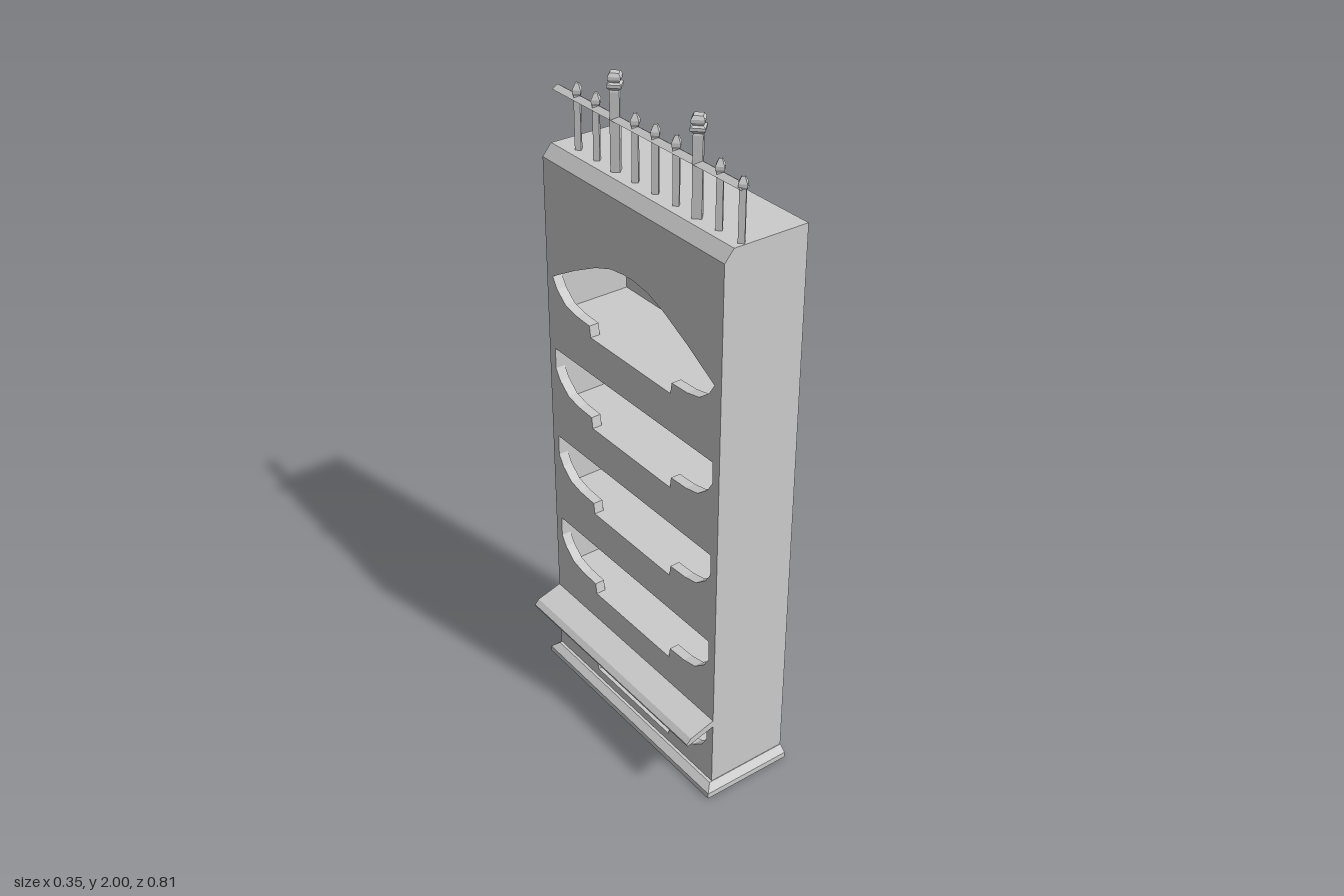
import * as THREE from 'three';

const FRONT = -0.085, BACK = 0.173;      // the open side faces -x
const HALF = 0.3875, MID = -0.0025;      // half width and centre along z
const CAP_Y = 1.6, TOP = 1.735;
const INNER = 0.36, BOARD = 0.03;
const FENCE_X = -0.023;
const FLOORS = [0.064, 0.36, 0.655, 0.95, 1.244];

const material = new THREE.MeshStandardMaterial({ color: 0xcccccc, flatShading: true });

function add(parent, name, geometry, x = 0, y = 0, z = 0) {
  const mesh = new THREE.Mesh(geometry, material);
  mesh.name = name;
  mesh.position.set(x, y, z);
  parent.add(mesh);
  return mesh;
}

const toPoints = (list) => list.map(([x, y]) => new THREE.Vector2(x, y));

// Upright board in the zy plane with cut-outs, running from x = x0 to x1
function board(holes, y0, y1, x0, x1) {
  const shape = new THREE.Shape(toPoints([[-HALF, y0], [HALF, y0], [HALF, y1], [-HALF, y1]]));
  shape.holes = holes.map((h) => new THREE.Path(toPoints(h)));
  const geometry = new THREE.ExtrudeGeometry(shape, { depth: x1 - x0, bevelEnabled: false });
  return geometry.rotateY(Math.PI / 2).translate(x0, 0, MID);
}

// Profile in the xy plane swept along the width
function sweep(profile) {
  const geometry = new THREE.ExtrudeGeometry(new THREE.Shape(toPoints(profile)),
    { depth: HALF * 2, bevelEnabled: false });
  return geometry.translate(0, 0, MID - HALF);
}

// Mirrored outline of one opening: scrolled lower corners, straight or arched head
function opening(floor, arched) {
  const right = [[0.18, 0], [0.185, 0.034], [0.25, 0.037], [0.3, 0.048], [0.34, 0.08], [INNER, 0.112]];
  if (arched) right.push([0.25, 0.175], [0.15, 0.225], [0.08, 0.25], [0.02, 0.258]);
  else right.push([INNER, 0.177]);
  const left = right.map(([x, y]) => [-x, y]).reverse();
  return [...right, ...left].map(([x, y]) => [x, y + floor]);
}

// Rectangular space behind an opening
function compartment(floor, arched) {
  const top = floor + (arched ? 0.265 : 0.177);
  return [[-INNER, floor], [INNER, floor], [INNER, top], [-INNER, top]];
}

// Plinth band whose front and sides slope inwards by inset; the back stays flush
function band(y0, y1, xFront, half, inset) {
  const geometry = new THREE.BoxGeometry(BACK - xFront, y1 - y0, half * 2);
  geometry.translate((BACK + xFront) / 2, (y0 + y1) / 2, 0);
  const p = geometry.attributes.position;
  for (let i = 0; i < p.count; i++) {
    if (p.getY(i) < y1 - 1e-4) continue;
    p.setZ(i, p.getZ(i) - Math.sign(p.getZ(i)) * inset);
    if (p.getX(i) < 0) p.setX(i, p.getX(i) + inset);
  }
  return geometry;
}

// Four-sided turned post
function post(profile) {
  return new THREE.LatheGeometry(toPoints(profile), 4);
}

export function createModel() {
  const model = new THREE.Group();
  model.name = 'bookcase';

  // Cabinet
  const cabinet = new THREE.Group();
  cabinet.name = 'cabinet';
  model.add(cabinet);
  const arched = (i) => i === FLOORS.length - 1;
  add(cabinet, 'frontFrame', board(FLOORS.map((f, i) => opening(f, arched(i))), 0.01, CAP_Y, FRONT, FRONT + BOARD));
  add(cabinet, 'shelfCarcass', board(FLOORS.map((f, i) => compartment(f, arched(i))), 0.01, CAP_Y, FRONT + BOARD, BACK - 0.008));
  add(cabinet, 'backPanel', board([], 0.01, CAP_Y, BACK - 0.008, BACK));
  add(cabinet, 'chamferedTop', sweep([
    [FRONT, CAP_Y], [BACK, CAP_Y], [BACK, TOP], [-0.057, TOP], [FRONT, 1.702],
  ]));

  // Plinth
  const plinth = new THREE.Group();
  plinth.name = 'plinth';
  model.add(plinth);
  add(plinth, 'plinthBase', band(0, 0.018, -0.114, 0.407, 0));
  add(plinth, 'plinthMoulding', band(0.018, 0.036, -0.114, 0.407, 0.02));

  // Sloping ledge
  add(model, 'ledge', sweep([
    [FRONT, 0.245], [FRONT, 0.267], [-0.163, 0.243], [-0.177, 0.228], [-0.175, 0.22], [-0.163, 0.223],
  ]));

  // Fence along the top
  const fence = new THREE.Group();
  fence.name = 'fence';
  model.add(fence);
  const rail = new THREE.CylinderGeometry(1, 1, 0.776, 4).rotateX(Math.PI / 2).scale(0.017, 0.011, 1);
  add(fence, 'rail', rail, FENCE_X, 1.876, -0.013);

  const picket = post([[0, 0], [0.012, 0], [0.012, 0.15], [0.016, 0.157], [0.016, 0.166], [0.006, 0.184], [0, 0.184]]);
  const finialPost = post([
    [0, 0], [0.018, 0], [0.018, 0.215], [0.016, 0.22], [0.027, 0.228], [0.027, 0.236],
    [0.017, 0.24], [0.024, 0.248], [0.024, 0.256], [0.017, 0.265], [0, 0.265],
  ]);
  for (let i = 0; i < 9; i++) {
    const tall = i === 2 || i === 6;
    const mesh = add(fence, tall ? 'finialPost' : 'picket', tall ? finialPost : picket,
      FENCE_X, TOP, -0.31 + i * 0.085);
    if (i === 8) mesh.scale.y = 0.92;
  }
  return model;
}
